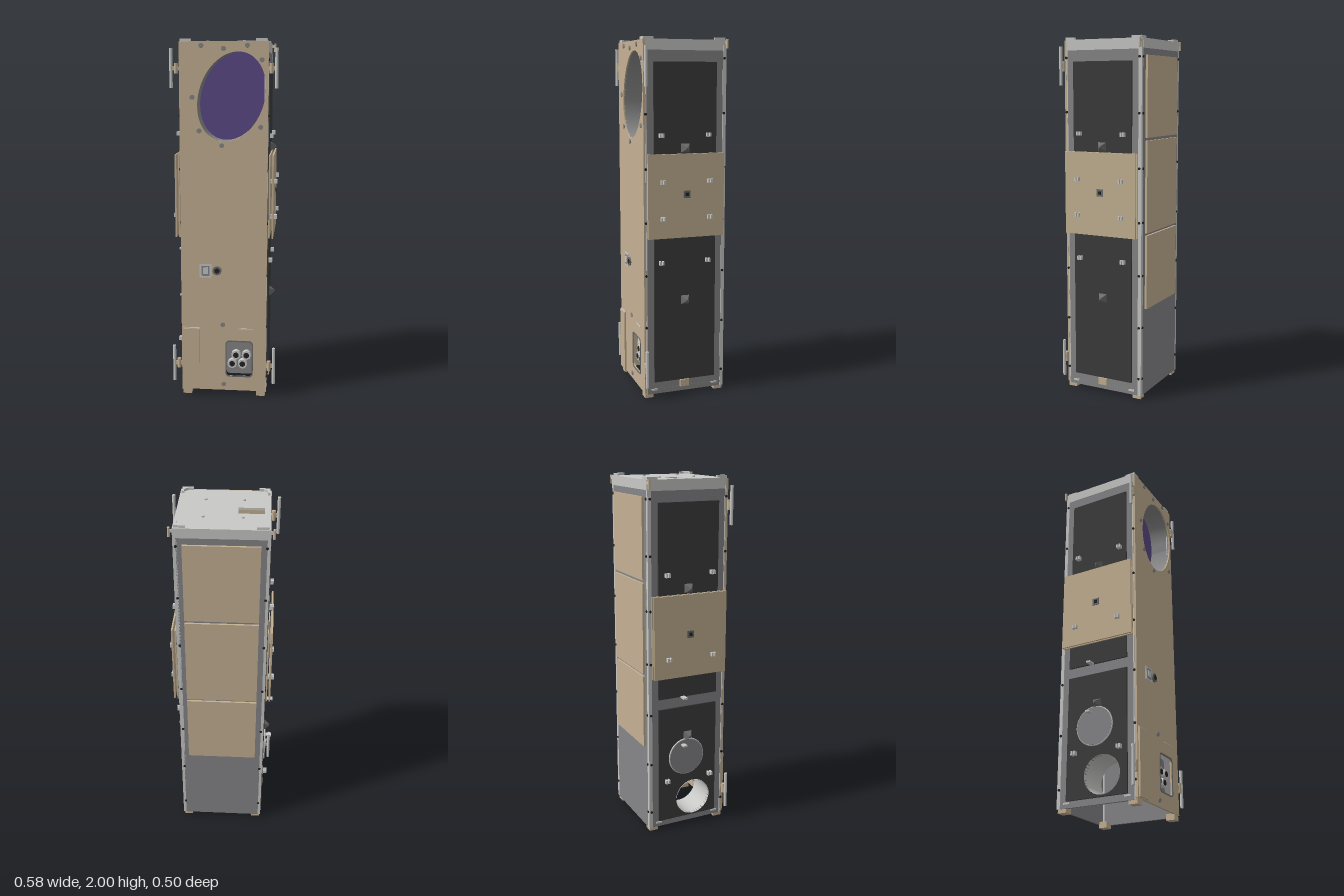
import * as THREE from 'three';

const mat = (name, color, side = THREE.FrontSide) => {
  const m = new THREE.MeshStandardMaterial({ color, side });
  m.name = name;
  return m;
};

export function createModel() {
  const root = new THREE.Group();
  root.name = 'smallSatellite';
  const tan = mat('tan', 0xc4b193), light = mat('lightGrey', 0xc8c8c6, THREE.DoubleSide);
  const mid = mat('midGrey', 0x868688), dark = mat('darkPanel', 0x3c3c3c);
  const black = mat('blackBolt', 0x222222), purple = mat('purpleOptics', 0x5b4a86);
  const steel = mat('steelGrey', 0x6c6c6e, THREE.DoubleSide);

  const add = (name, geo, m, x = 0, y = 0, z = 0, parent = root) => {
    const mesh = new THREE.Mesh(geo, m);
    mesh.name = name;
    mesh.position.set(x, y, z);
    parent.add(mesh);
    return mesh;
  };
  // Box given by its min and max on each axis
  const box = (name, m, x0, x1, y0, y1, z0, z1, parent) =>
    add(name, new THREE.BoxGeometry(x1 - x0, y1 - y0, z1 - z0), m, (x0 + x1) / 2, (y0 + y1) / 2, (z0 + z1) / 2, parent);
  // Cylinder along a chosen axis
  const cyl = (name, m, axis, r, len, x, y, z, parent) => {
    const g = new THREE.CylinderGeometry(r, r, len, 24);
    if (axis === 'x') g.rotateZ(Math.PI / 2);
    if (axis === 'z') g.rotateX(Math.PI / 2);
    return add(name, g, m, x, y, z, parent);
  };
  const rect = (x0, x1, y0, y1, r = 0, P = THREE.Shape) => {
    const s = new P();
    if (!r) return s.moveTo(x0, y0).lineTo(x1, y0).lineTo(x1, y1).lineTo(x0, y1).closePath();
    s.absarc(x1 - r, y0 + r, r, -Math.PI / 2, 0);
    s.absarc(x1 - r, y1 - r, r, 0, Math.PI / 2);
    s.absarc(x0 + r, y1 - r, r, Math.PI / 2, Math.PI);
    s.absarc(x0 + r, y0 + r, r, Math.PI, Math.PI * 1.5);
    return s.closePath();
  };
  const plate = (shape, depth) => new THREE.ExtrudeGeometry(shape, { depth, bevelEnabled: false, curveSegments: 32 });

  // Front panel with a leaning oval aperture and a connector window
  const oval = { x: 0.042, y: 1.693, a: 0.177, b: 0.245, lean: -0.33 };
  const front = rect(-0.24, 0.24, 0.03, 1.985);
  front.holes.push(new THREE.Path().absellipse(oval.x, oval.y, oval.a, oval.b, 0, Math.PI * 2, true, oval.lean));
  front.holes.push(rect(0.012, 0.163, 0.115, 0.325, 0.02, THREE.Path));
  add('frontPanel', plate(front, 0.012), tan, 0, 0, 0.225);
  box('frontStrip', tan, -0.23, -0.137, 0.035, 0.395, 0.237, 0.247);
  box('frontSeam', light, -0.23, -0.137, 0.395, 0.401, 0.237, 0.243);
  box('frontSeam', light, 0.08, 0.165, 0.395, 0.401, 0.237, 0.24);

  // Aperture wall, seen from inside, and the recessed mirror
  const wall = new THREE.CylinderGeometry(1, 1, 0.12, 48, 1, true).rotateX(Math.PI / 2)
    .scale(-oval.a, oval.b, 1).rotateZ(oval.lean);
  wall.computeVertexNormals();
  const wallMat = mat('apertureGrey', 0x8a8a8a);
  add('apertureWall', wall, wallMat, oval.x, oval.y, 0.17);
  add('mirror', new THREE.CircleGeometry(1, 48).scale(oval.a, oval.b, 1).rotateZ(oval.lean), purple, oval.x, oval.y, 0.11);

  // Front screws
  for (const [x, y] of [[-0.12, 1.963], [0, 1.947], [0.127, 1.963], [0.205, 1.888], [-0.17, 1.692],
    [-0.133, 1.512], [-0.01, 1.433], [0.2, 1.533], [-0.005, 0.421], [0, 0.066]])
    cyl('frontScrew', mid, 'z', 0.013, 0.006, x, y, 0.239);

  // Square and round sockets on the front
  box('squareSocket', light, -0.135, -0.069, 0.695, 0.772, 0.237, 0.241);
  box('squareSocketRing', mid, -0.125, -0.079, 0.705, 0.762, 0.24, 0.243);
  box('squareSocketCore', light, -0.116, -0.088, 0.715, 0.752, 0.24, 0.245);
  cyl('roundSocket', steel, 'z', 0.025, 0.01, -0.037, 0.735, 0.24);
  cyl('roundSocketCore', black, 'z', 0.014, 0.012, -0.037, 0.735, 0.241);

  // Window frame and recessed connector plate
  const rim = rect(0.01, 0.166, 0.112, 0.328, 0.022);
  rim.holes.push(rect(0.016, 0.16, 0.119, 0.321, 0.018, THREE.Path));
  add('windowRim', plate(rim, 0.004), steel, 0, 0, 0.236);
  add('connectorPlate', plate(rect(0.012, 0.163, 0.115, 0.325, 0.02), 0.006), mid, 0, 0, 0.185);
  for (const [x, y] of [[0.068, 0.235], [0.127, 0.235], [0.046, 0.183], [0.105, 0.183]]) {
    cyl('connector', light, 'z', 0.026, 0.03, x, y, 0.205);
    cyl('connectorCore', black, 'z', 0.016, 0.032, x, y, 0.206);
  }

  // Back wall with three tan panels
  box('backWall', mid, -0.225, 0.225, 0.02, 1.94, -0.238, -0.228);
  for (const [y0, y1] of [[0.515, 0.928], [0.942, 1.447], [1.463, 1.9]])
    box('backPanel', tan, -0.195, 0.195, y0, y1, -0.25, -0.238);

  // Left (+x) wall
  box('leftWall', mid, 0.225, 0.237, 0.02, 1.94, -0.22, 0.225);
  box('leftDarkPanel', dark, 0.237, 0.246, 0.09, 1.87, -0.18, 0.18);
  box('leftLatch', tan, 0.237, 0.25, 0.048, 0.088, -0.025, 0.028);

  // Right (-x) wall, pierced by the barrel
  const barrel = { z: 0.035, y: 0.17, r: 0.105 };
  const sidePlate = (name, m, z0, z1, y0, y1, x, depth, pierced) => {
    const s = rect(z0, z1, y0, y1);
    if (pierced) s.holes.push(new THREE.Path().absarc(barrel.z, barrel.y, barrel.r, 0, Math.PI * 2, true));
    add(name, plate(s, depth).rotateY(-Math.PI / 2), m, x);
  };
  sidePlate('rightLiner', tan, -0.22, 0.225, 0.02, 0.4, -0.221, 0.004, true);
  sidePlate('rightWall', mid, -0.22, 0.225, 0.02, 1.94, -0.225, 0.012, true);
  sidePlate('rightLowerPanel', dark, -0.18, 0.18, 0.055, 0.735, -0.237, 0.009, true);
  sidePlate('rightUpperPanel', dark, -0.18, 0.18, 0.795, 1.87, -0.237, 0.009, false);
  add('barrel', new THREE.CylinderGeometry(barrel.r, barrel.r, 0.18, 40, 1, true).rotateZ(Math.PI / 2),
    light, -0.16, barrel.y, barrel.z);
  add('barrelLens', new THREE.CircleGeometry(barrel.r, 40).rotateY(Math.PI / 2), purple, -0.07, barrel.y, barrel.z);
  cyl('portCover', mid, 'x', 0.105, 0.012, -0.25, 0.435, -0.01);
  add('portCoverRim', new THREE.TorusGeometry(0.105, 0.005, 8, 40).rotateY(Math.PI / 2), light, -0.25, 0.435, -0.01);
  box('coverClasp', light, -0.29, -0.246, 0.506, 0.516, -0.045, -0.022);
  box('coverClasp', light, -0.29, -0.246, 0.79, 0.8, -0.045, -0.022);

  // Corner rails, bolts, top band and feet
  for (const sx of [-1, 1]) {
    for (const sz of [-1, 1]) {
      box('cornerRail', light, sx * 0.23 - 0.011, sx * 0.23 + 0.011, 0.02, 1.985, sz * 0.228 - 0.01, sz * 0.228 + (sz > 0 ? -0.004 : 0.01));
      box('foot', tan, sx * 0.21 - 0.025, sx * 0.21 + 0.025, 0, 0.035, sz * 0.208 - 0.025, sz * 0.208 + 0.025);
      for (let i = 0; i < 7; i++) {
        cyl('railBolt', black, 'x', 0.007, 0.006, sx * 0.242, 0.12 + i * 0.295, sz * 0.225);
        if (sz < 0) cyl('railBolt', black, 'z', 0.007, 0.006, sx * 0.225, 0.12 + i * 0.295, -0.239);
      }
    }
    box('sideTopBand', light, sx * 0.232 - 0.008, sx * 0.232 + 0.008, 1.93, 1.985, -0.235, 0.225);
    box('sideBottomBand', mid, sx * 0.232 - 0.006, sx * 0.232 + 0.006, 0.02, 0.05, -0.22, 0.225);
    for (const z of [-0.18, 0.18]) box('bottomTab', light, sx * 0.24 - 0.003, sx * 0.24 + 0.003, 0.04, 0.05, z - 0.018, z + 0.018);
  }
  box('backTopBand', light, -0.23, 0.23, 1.935, 1.985, -0.24, -0.226);

  // Top plate with a rectangular opening, and the deck below it
  const top = rect(-0.24, 0.24, -0.226, 0.24);
  top.holes.push(rect(-0.208, -0.074, -0.012, 0.057, 0, THREE.Path));
  add('topPlate', plate(top, 0.012).rotateX(-Math.PI / 2), light, 0, 1.975, 0);
  add('innerDeck', new THREE.PlaneGeometry(0.44, 0.44).rotateX(-Math.PI / 2), dark, 0, 1.35, 0);
  for (const x of [-0.1, 0.1]) for (const z of [-0.105, 0.1]) cyl('topPin', light, 'y', 0.008, 0.01, x, 1.99, z);

  // L-shaped brackets on the top corners
  const ell = new THREE.Shape([[0, 0], [-0.058, 0], [-0.058, -0.012], [-0.034, -0.012], [-0.014, -0.032],
    [-0.014, -0.06], [0, -0.06]].map(([x, y]) => new THREE.Vector2(x, y)));
  for (let i = 0; i < 4; i++) {
    const b = add('topBracket', plate(ell, 0.014).translate(0.234, 0.232, 0).rotateX(-Math.PI / 2), light, 0, 1.986, 0);
    b.rotation.y = i * Math.PI / 2;
  }

  // Fittings on both sides
  const pyramid = (sx, y, base, x, h) => {
    const g = new THREE.CylinderGeometry(base * 0.15, base, h, 4, 1).toNonIndexed().rotateY(Math.PI / 4).rotateZ(-sx * Math.PI / 2);
    g.computeVertexNormals();
    add('sunSensor', g, steel, sx * (x + h / 2), y, 0);
  };
  for (const sx of [-1, 1]) {
    const span = (name, m, a, b, ...r) => box(name, m, Math.min(sx * a, sx * b), Math.max(sx * a, sx * b), ...r);
    span('wingPanelInner', tan, 0.245, 0.253, 0.92, 1.38, -0.22, 0.22);
    span('wingPanelOuter', tan, 0.263, 0.272, 0.92, 1.38, -0.217, 0.222);
    span('wingSpacer', mid, 0.25, 0.265, 1.1, 1.2, -0.05, 0.05);
    const pegs = sx > 0 ? [[1.48, 0.266], [1.23, 0.29], [1.03, 0.29], [0.78, 0.266]]
      : [[1.49, 0.27], [1.03, 0.29], [0.3, 0.27]];
    for (const [y, end] of pegs) for (const z of [-0.131, 0.14]) {
      span('peg', light, 0.24, end, y - 0.011, y + 0.011, z - 0.013, z - 0.003);
      span('peg', light, 0.24, end, y - 0.011, y + 0.011, z + 0.003, z + 0.013);
    }
    pyramid(sx, 1.41, 0.036, 0.245, 0.032);
    pyramid(sx, 0.56, 0.036, 0.245, 0.032);
    span('wingSensor', steel, 0.27, 0.276, 1.14, 1.18, -0.02, 0.02);
    span('wingSensorCore', black, 0.27, 0.28, 1.151, 1.169, -0.009, 0.009);

    // Antenna rods on tan hinges at the front corners
    for (const y of [0.185, 1.845]) {
      cyl('antennaRod', light, 'y', 0.009, 0.21, sx * 0.283, y, 0.235);
      cyl('antennaHinge', tan, 'y', 0.011, 0.055, sx * 0.256, y, 0.235);
      span('antennaArm', tan, 0.24, 0.283, y - 0.012, y + 0.012, 0.231, 0.238);
    }
    // Small rear hinge pins
    span('rearPinArm', light, 0.18, 0.255, 1.965, 1.98, -0.239, -0.231);
    cyl('rearPin', tan, 'y', 0.007, 0.05, sx * 0.257, 1.965, -0.235);
  }
  return root;
}
